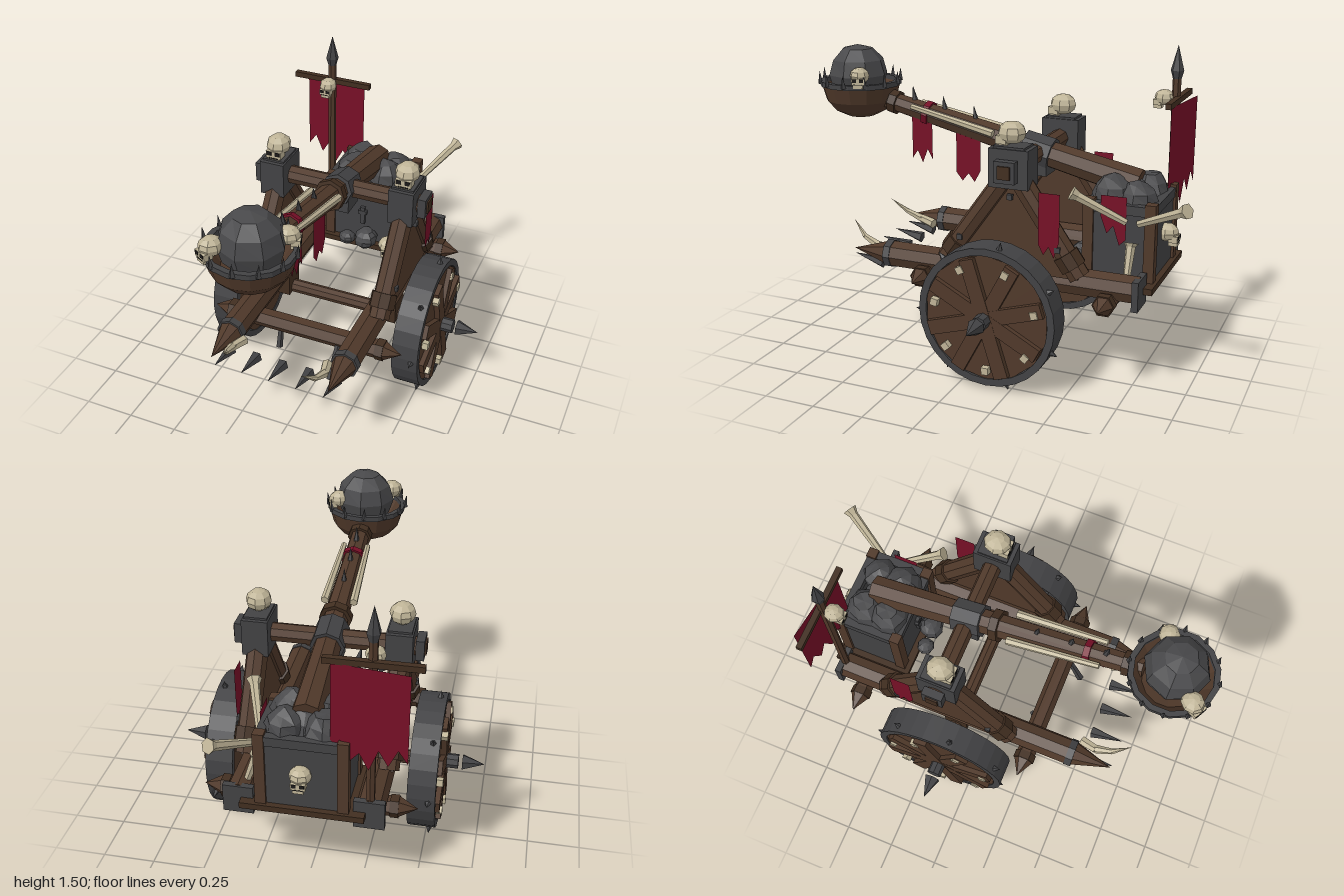
import * as THREE from 'three';

export function createModel() {
  const model = new THREE.Group();
  model.name = 'siegeCatapult';
  const mat = (name, color, side = THREE.FrontSide) =>
    Object.assign(new THREE.MeshStandardMaterial({ color, flatShading: true, side }), { name });
  const wood = mat('wood', 0x50392a);
  const darkWood = mat('dark wood', 0x412e20);
  const iron = mat('iron', 0x424244);
  const stone = mat('stone', 0x48484a);
  const bone = mat('bone', 0xbfb497);
  const red = mat('red cloth', 0x760f26, THREE.DoubleSide);
  const black = mat('black', 0x1b1918);
  const V = (x, y, z) => new THREE.Vector3(x, y, z);

  const add = (name, geo, m, parent = model) => {
    const mesh = new THREE.Mesh(geo, m);
    mesh.name = name;
    parent.add(mesh);
    return mesh;
  };
  const box = (name, m, w, h, d, x, y, z, parent = model) => {
    const mesh = add(name, new THREE.BoxGeometry(w, h, d), m, parent);
    mesh.position.set(x, y, z);
    return mesh;
  };
  // Round or faceted bar from a to b; a zero end radius makes a spike
  const bar = (name, m, a, b, r0, r1 = r0, seg = 8, parent = model) => {
    const mesh = add(name, new THREE.CylinderGeometry(r1, r0, a.distanceTo(b), seg), m, parent);
    mesh.position.copy(a).lerp(b, 0.5);
    mesh.quaternion.setFromUnitVectors(V(0, 1, 0), b.clone().sub(a).normalize());
    return mesh;
  };
  // Lumpy low-poly rock, deformed by a fixed wave rule
  const rock = (name, r, x, y, z, bump = 0.1, sy = 1, parent = model) => {
    const g = new THREE.SphereGeometry(r, 8, 6), p = g.attributes.position, v = V(0, 0, 0);
    for (let i = 0; i < p.count; i++) {
      v.fromBufferAttribute(p, i);
      v.multiplyScalar(1 + bump * Math.sin(v.x * 37 + x * 50) * Math.cos(v.z * 41 + v.y * 29));
      p.setXYZ(i, v.x, v.y * sy, v.z);
    }
    const mesh = add(name, g, stone, parent);
    mesh.position.set(x, y, z);
    return mesh;
  };
  // Skull facing local +z
  const skull = (x, y, z, s, turn = 0) => {
    const g = new THREE.Group();
    g.name = 'skull';
    const head = add('cranium', new THREE.SphereGeometry(0.06, 8, 6), bone, g);
    head.scale.set(1, 0.85, 1.1);
    head.position.y = 0.01;
    box('cheeks', bone, 0.078, 0.036, 0.05, 0, -0.02, 0.04, g);
    box('jaw', bone, 0.058, 0.024, 0.05, 0, -0.048, 0.038, g);
    box('teethGap', black, 0.05, 0.005, 0.004, 0, -0.037, 0.065, g);
    for (const e of [-1, 1]) box('eyeSocket', black, 0.024, 0.02, 0.006, e * 0.021, -0.013, 0.065, g);
    g.position.set(x, y, z);
    g.rotation.y = turn;
    g.scale.setScalar(s);
    model.add(g);
  };
  // Hanging cloth with a ragged lower edge, top edge centred on the given point
  const cloth = (name, w, drops, x, y, z, turn) => {
    const n = drops.length - 1, s = new THREE.Shape();
    s.moveTo(w / 2, 0);
    s.lineTo(-w / 2, 0);
    drops.forEach((d, i) => s.lineTo(-w / 2 + (w * i) / n, -d));
    const mesh = add(name, new THREE.ShapeGeometry(s), red);
    mesh.position.set(x, y, z);
    mesh.rotation.y = turn;
    return mesh;
  };
  const longBone = (a, b) => {
    bar('bone', bone, a, b, 0.017, 0.024, 6);
    bar('boneEnd', bone, b.clone().lerp(a, 0.12), b, 0.022, 0.036, 6);
  };

  // Wheels, hubs, rails, towers: mirrored on both sides
  for (const s of [-1, 1]) {
    const wheel = new THREE.Group();
    wheel.name = 'wheel';
    wheel.position.set(s * 0.485, 0.37, -0.14);
    wheel.rotation.set(0, s * Math.PI / 2, 0); // local +z points outwards
    model.add(wheel);
    const ring = new THREE.Shape().absarc(0, 0, 0.332, 0, Math.PI * 2);
    ring.holes.push(new THREE.Path().absarc(0, 0, 0.298, 0, Math.PI * 2, true));
    const tyre = add('tyre', new THREE.ExtrudeGeometry(ring, { depth: 0.133, bevelEnabled: false, curveSegments: 14 }), iron, wheel);
    tyre.position.z = -0.065;
    const disc = add('wheelDisc', new THREE.CylinderGeometry(0.3, 0.3, 0.125, 14), wood, wheel);
    disc.rotation.x = Math.PI / 2;
    for (let i = 0; i < 4; i++)
      box('spoke', wood, 0.07, 0.575, 0.03, 0, 0, 0.074 - i * 0.001, wheel).rotation.z = i * Math.PI / 4 + 0.3;
    for (let i = 0; i < 7; i++) {
      const a = i * Math.PI * 2 / 7 + 0.25, c = Math.cos(a), d = Math.sin(a);
      box('boneStud', bone, 0.034, 0.034, 0.03, c * 0.25, d * 0.25, 0.08, wheel).rotation.z = a;
      const t = a + 0.25, u = Math.cos(t), w = Math.sin(t);
      bar('tyreSpike', iron, V(u * 0.32, w * 0.32, 0.035), V(u * 0.365, w * 0.365, 0.035), 0.02, 0, 5, wheel);
    }
    bar('hub', iron, V(0, 0, 0.07), V(0, 0, 0.145), 0.036, 0.036, 8, wheel);
    bar('hubSpike', iron, V(0, 0, 0.165), V(0, 0, 0.272), 0.041, 0, 6, wheel);

    // Side rail with pointed front and iron bands
    const x = s * 0.295;
    bar('sideRail', wood, V(x, 0.51, -0.78), V(x, 0.51, 0.47), 0.066);
    bar('railPoint', wood, V(x, 0.51, 0.47), V(x, 0.51, 0.68), 0.066, 0);
    bar('railBand', iron, V(x, 0.51, 0.455), V(x, 0.51, 0.49), 0.07);
    box('railEndPlate', iron, 0.14, 0.14, 0.03, x, 0.5, -0.775);
    box('axleBlock', darkWood, 0.09, 0.13, 0.12, x, 0.405, -0.14);

    // A-frame tower
    const tx = s * 0.335;
    bar('towerFrontLeg', wood, V(tx, 0.55, 0.15), V(tx, 0.95, -0.135), 0.052);
    bar('towerBackLeg', wood, V(tx, 0.55, -0.51), V(tx, 0.95, -0.235), 0.052);
    bar('legCollar', darkWood, V(tx, 0.59, 0.12), V(tx, 0.65, 0.077), 0.064);
    bar('legCollar', darkWood, V(tx, 0.59, -0.482), V(tx, 0.65, -0.44), 0.064);
    const tri = new THREE.Shape([[-0.15, 0.54], [0.51, 0.54], [0.235, 0.95], [0.135, 0.95]].map(p => new THREE.Vector2(...p)));
    const plate = add('towerPanel', new THREE.ExtrudeGeometry(tri, { depth: 0.05, bevelEnabled: false }), wood);
    plate.rotation.y = Math.PI / 2;
    plate.position.x = tx - 0.025;
    for (const [y, z] of [[0.9, -0.19], [0.68, 0.06], [0.68, -0.42]])
      box('bolt', iron, 0.02, 0.025, 0.025, tx + s * 0.05, y, z);
    box('towerHead', iron, 0.125, 0.18, 0.19, tx, 1.03, -0.185);
    box('headCap', iron, 0.11, 0.02, 0.15, tx, 1.12, -0.185);
    box('beamEnd', iron, 0.04, 0.1, 0.1, s * 0.425, 1.025, -0.185);
    box('beamPeg', darkWood, 0.012, 0.06, 0.06, s * 0.447, 1.025, -0.185);
    skull(tx, 1.175, -0.18, 1.02);
    cloth('towerPennant', 0.1, [0.24, 0.29, 0.25, 0.3, 0.22], s * 0.394, 0.94, -0.38, Math.PI / 2);

    // Curved tusk beside the rail point
    const pts = [V(s * 0.215, 0.5, 0.5), V(s * 0.235, 0.515, 0.58), V(s * 0.225, 0.55, 0.66), V(s * 0.19, 0.62, 0.74)];
    [0.026, 0.022, 0.014].forEach((r, i) => bar('tusk', bone, pts[i], pts[i + 1], r, [0.022, 0.014, 0][i], 6));

    // Bones lashed along the throwing arm
    bar('armBone', bone, V(s * 0.06, 1.195, 0.47), V(s * 0.07, 1.1, 0.03), 0.014, 0.02, 6);
  }

  // Cross beams with pointed ends, axle and top beam
  for (const z of [0.26, -0.645]) {
    bar('crossBeam', wood, V(-0.41, 0.455, z), V(0.41, 0.455, z), 0.047, 0.047, 6);
    for (const s of [-1, 1]) {
      bar('beamPoint', wood, V(s * 0.41, 0.455, z), V(s * 0.495, 0.455, z), 0.047, 0, 6);
      bar('beamCollar', darkWood, V(s * 0.37, 0.455, z), V(s * 0.41, 0.455, z), 0.053, 0.053, 6);
    }
  }
  bar('axle', wood, V(-0.43, 0.365, -0.14), V(0.43, 0.365, -0.14), 0.035);
  bar('topBeam', wood, V(-0.41, 1.025, -0.185), V(0.41, 1.025, -0.185), 0.046);
  for (let i = -2; i <= 2; i++)
    bar('frontSpike', iron, V(i * 0.137, 0.445, 0.53), V(i * 0.137, 0.475, 0.69), 0.03, 0, 5);
  bar('hangingStake', iron, V(-0.155, 0.43, 0.21), V(-0.155, 0.28, 0.25), 0.013, 0.017, 5);
  bar('hangingStake', iron, V(0.18, 0.45, 0.28), V(0.17, 0.27, 0.36), 0.013, 0.019, 5);

  // Throwing arm
  const armY = z => 1.065 + 0.225 * z;
  const armPt = z => V(0, armY(z), z);
  bar('throwingArm', wood, armPt(-0.68), armPt(0.66), 0.074, 0.045);
  bar('armPivot', iron, armPt(-0.25), armPt(-0.11), 0.082, 0.08);
  box('pivotBlock', iron, 0.12, 0.1, 0.12, 0, 0.965, -0.18);
  for (const z of [-0.06, 0.57]) bar('armCollar', darkWood, armPt(z), armPt(z + 0.04), 0.078 - z * 0.03, 0.077 - z * 0.03);
  bar('clothWrap', red, armPt(0.39), armPt(0.42), 0.062, 0.061);
  for (const z of [0.48, 0.315, 0.15])
    bar('armSpike', iron, V(0, armY(z) + 0.04, z), V(0, armY(z) + 0.115, z + 0.01), 0.016, 0, 5);
  cloth('armPennant', 0.11, [0.22, 0.18, 0.24, 0.17, 0.22], 0.035, 1.15, 0.425, Math.PI / 2);
  cloth('armPennant', 0.13, [0.2, 0.24, 0.2, 0.24, 0.18], 0.035, 1.08, 0.175, Math.PI / 2);

  // Bowl with spiked iron rim, boulder and skulls
  const profile = [[0, 1.11], [0.07, 1.118], [0.13, 1.148], [0.175, 1.2], [0.197, 1.28], [0.18, 1.28], [0.13, 1.2], [0, 1.16]];
  add('bowl', new THREE.LatheGeometry(profile.map(p => new THREE.Vector2(...p)), 14), wood).position.z = 0.785;
  const rim = [[0.178, 1.275], [0.204, 1.275], [0.204, 1.3], [0.178, 1.3], [0.178, 1.275]];
  add('bowlRim', new THREE.LatheGeometry(rim.map(p => new THREE.Vector2(...p)), 14), iron).position.z = 0.785;
  for (let i = 0; i < 12; i++) {
    const a = i * Math.PI / 6 + 0.1, x = Math.sin(a) * 0.2, z = 0.785 + Math.cos(a) * 0.2;
    bar('rimSpike', iron, V(x, 1.285, z), V(x * 1.04, 1.35, z), 0.014, 0, 4);
  }
  rock('boulder', 0.148, 0.01, 1.328, 0.79, 0.02);
  skull(-0.115, 1.335, 0.9, 0.85, -0.5);
  skull(0.135, 1.335, 0.71, 0.8, 1.9);

  // Ammunition crate and its load
  box('crateFloor', darkWood, 0.56, 0.03, 0.38, 0, 0.5, -0.64);
  for (const z of [-0.5, -0.79]) {
    box('cratePanel', iron, 0.36, 0.34, 0.025, 0, 0.68, z);
    box('crateLip', iron, 0.38, 0.045, 0.04, 0, 0.845, z);
    for (const s of [-1, 1]) box('cratePost', wood, 0.05, 0.37, 0.05, s * 0.185, 0.695, z);
  }
  for (const s of [-1, 1]) {
    box('crateSide', iron, 0.025, 0.34, 0.28, s * 0.187, 0.68, -0.645);
    box('crateSideLip', iron, 0.04, 0.045, 0.28, s * 0.187, 0.845, -0.645);
  }
  box('crateLatch', iron, 0.024, 0.1, 0.02, 0, 0.67, -0.48);
  box('crateLatchBar', iron, 0.045, 0.02, 0.024, 0, 0.69, -0.48);
  for (const [x, y, z, r] of [[-0.09, 0.86, -0.58, 0.1], [0.08, 0.87, -0.58, 0.1], [-0.09, 0.86, -0.7, 0.1],
    [0.09, 0.86, -0.7, 0.09], [0, 0.84, -0.64, 0.11]]) rock('ammoStone', r, x, y, z, 0.12);
  rock('looseStone', 0.065, 0.04, 0.565, -0.43, 0.12, 0.8);
  rock('looseStone', 0.045, -0.06, 0.55, -0.42, 0.12, 0.8);
  skull(0.17, 0.56, -0.41, 0.85, 0.3);
  skull(0, 0.69, -0.82, 0.85, Math.PI);
  longBone(V(0.21, 0.79, -0.74), V(0.345, 0.92, -0.985));
  longBone(V(0.21, 0.79, -0.68), V(0.295, 0.925, -0.45));
  longBone(V(0.27, 0.56, -0.71), V(0.22, 0.7, -0.71));
  cloth('crateCloth', 0.12, [0.1, 0.18, 0.14, 0.23, 0.2], 0.208, 0.905, -0.62, Math.PI / 2);

  // Banner on its pole
  bar('bannerPole', wood, V(-0.297, 0.5, -0.76), V(-0.297, 1.39, -0.76), 0.021, 0.021, 6);
  bar('spearSocket', iron, V(-0.297, 1.35, -0.76), V(-0.297, 1.4, -0.76), 0.018, 0.032, 6);
  bar('spearTip', iron, V(-0.297, 1.4, -0.76), V(-0.297, 1.52, -0.76), 0.032, 0, 6);
  box('bannerCrossbar', darkWood, 0.42, 0.028, 0.028, -0.3, 1.265, -0.775);
  cloth('banner', 0.34, [0.43, 0.37, 0.46, 0.39, 0.5, 0.42, 0.47, 0.37, 0.46], -0.292, 1.255, -0.804, -0.13);
  skull(-0.297, 1.26, -0.705, 0.75);
  return model;
}
